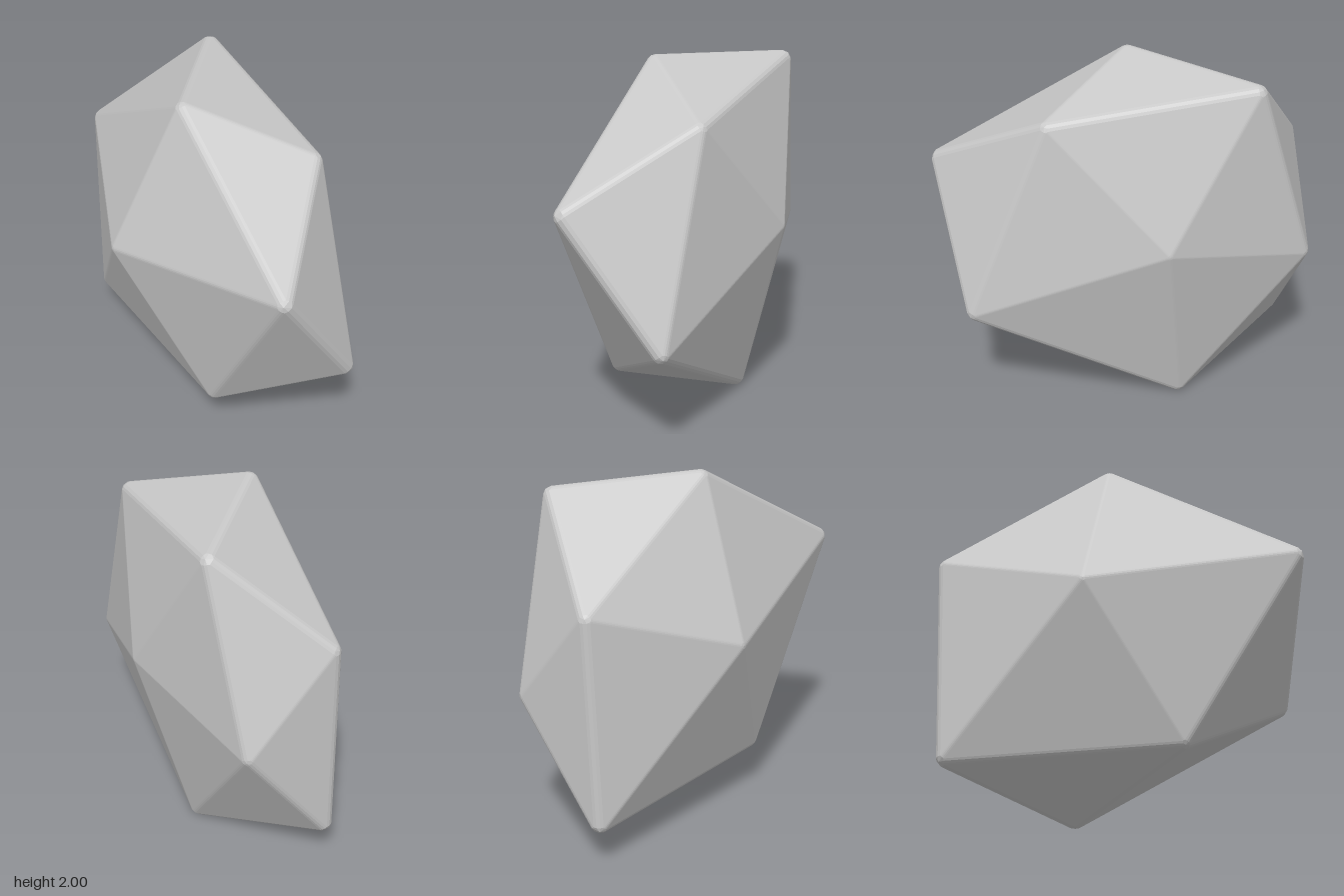
import * as THREE from 'three';
import { ConvexGeometry } from 'three/addons/geometries/ConvexGeometry.js';

// Corners of an irregular twenty-sided rock
const CORNERS = {
  A: [-0.08, 2.0, 0.2], B: [-0.5, 1.93, -0.54], C: [0.59, 1.8, -0.16],
  D: [0.94, 1.42, 0.56], E: [-1.0, 1.43, -0.07], F: [-0.3, 1.13, 0.525],
  G: [0.995, 0.67, 0.0], H: [0.3, 0.28, 0.375], I: [-0.955, 0.225, -0.03],
  J: [-0.15, 0.0, -0.315], K: [0.06, 1.08, -0.565], L: [-0.83, 0.87, -0.56],
};
const FACES = ('AEF AFD FEI FIH FDH DHG ACD ABE HIJ HGJ ' +
  'BCA BEL ELI LIJ KBC KBL KLJ KGJ KCG CDG').split(' ');
const RADIUS = 0.05; // rounding of the edges
const INSET = 0.06;  // how far the corner balls sit inside
const STEPS = 3;     // bands across each rounded edge

function roundedRock() {
  const corner = {};
  for (const k in CORNERS) corner[k] = new THREE.Vector3(...CORNERS[k]);
  const middle = new THREE.Vector3(0, 1, 0);

  // Outward normal of every face
  const faces = FACES.map((keys) => {
    const [a, b, c] = [...keys].map((k) => corner[k]);
    const normal = b.clone().sub(a).cross(c.clone().sub(a)).normalize();
    if (normal.dot(a.clone().sub(middle)) < 0) normal.negate();
    return { keys, normal };
  });

  // Each corner becomes a patch of a small ball set just inside it
  const points = [];
  for (const k in corner) {
    const around = faces.filter((f) => f.keys.includes(k));
    const mean = new THREE.Vector3();
    around.forEach((f) => mean.add(f.normal));
    mean.normalize();
    const centre = corner[k].clone().addScaledVector(mean, -INSET);
    const add = (dir) => points.push(centre.clone().addScaledVector(dir, RADIUS));

    add(mean);
    around.forEach((f, i) => {
      add(f.normal);
      // Bands between faces that share an edge at this corner
      around.slice(i + 1).forEach((g) => {
        if ([...f.keys].filter((q) => g.keys.includes(q)).length < 2) return;
        for (let s = 1; s < STEPS; s++) {
          add(f.normal.clone().lerp(g.normal, s / STEPS).normalize());
        }
      });
    });
  }
  return new ConvexGeometry(points);
}

export function createModel() {
  const stone = new THREE.MeshStandardMaterial({ color: 0xc9c9c9 });
  stone.name = 'stone grey';

  const rock = new THREE.Mesh(roundedRock(), stone);
  rock.name = 'rock';

  const model = new THREE.Group();
  model.name = 'facetedRock';
  model.add(rock);
  return model;
}
